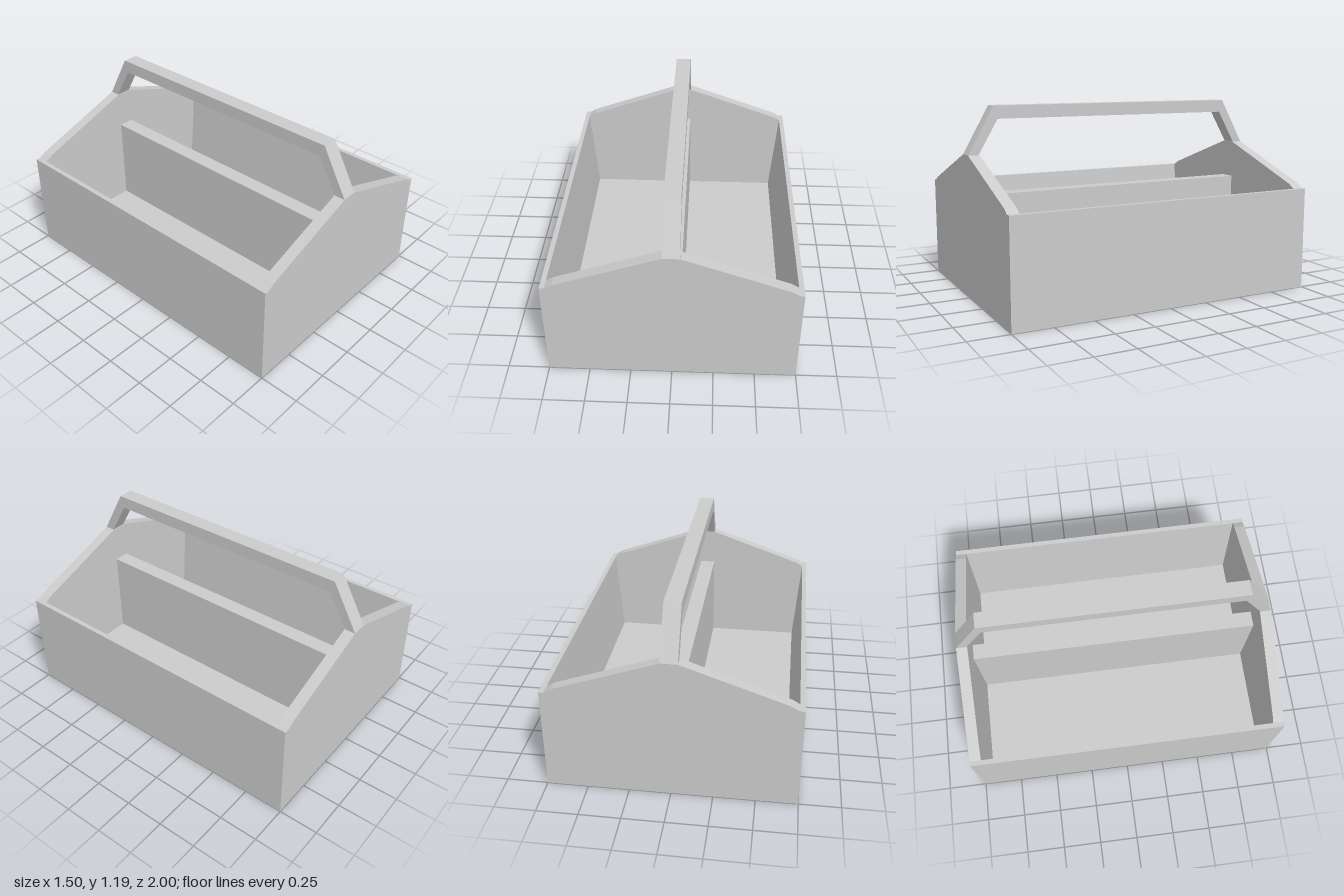
import * as THREE from 'three';

const material = new THREE.MeshStandardMaterial({ color: 0xcccccc, flatShading: true });

// Extrudes an outline by a depth, centred on z = 0
function slab(name, points, depth) {
  const shape = new THREE.Shape(points.map(([x, y]) => new THREE.Vector2(x, y)));
  const geometry = new THREE.ExtrudeGeometry(shape, { depth, bevelEnabled: false });
  geometry.translate(0, 0, -depth / 2);
  const mesh = new THREE.Mesh(geometry, material);
  mesh.name = name;
  return mesh;
}

function box(name, w, h, d, y) {
  const mesh = new THREE.Mesh(new THREE.BoxGeometry(w, h, d), material);
  mesh.name = name;
  mesh.position.y = y + h / 2;
  return mesh;
}

// Closes a half outline by mirroring it across the vertical axis
const mirrored = (half) => [...half, ...half.map(([x, y]) => [-x, y]).reverse()];

export function createModel() {
  const group = new THREE.Group();
  group.name = 'toolCaddy';
  const wall = 0.07, rim = 0.65, peak = 0.895;
  const inside = 2 - 2 * wall;

  // Floor and central divider
  group.add(box('floor', 1.4, wall, inside, 0));
  group.add(box('divider', 0.1, rim - wall, inside, wall));

  // Gabled end walls
  const gable = mirrored([[0.75, 0], [0.75, rim], [0.72, rim], [0.675, 0.677], [0.05, peak]]);
  for (const side of [1, -1]) {
    const end = slab(side > 0 ? 'frontWall' : 'backWall', gable, wall);
    end.position.z = side * (1 - wall / 2);
    group.add(end);
  }

  // Side walls, thinner at the rim than at the floor
  const section = [[0.67, 0], [0.75, 0], [0.75, rim], [0.72, rim], [0.675, wall], [0.67, wall]];
  const left = slab('leftWall', section, inside);
  const right = slab('rightWall', section, inside);
  right.rotation.y = Math.PI;
  group.add(left, right);

  // Angled carrying handle between the gable peaks
  const handle = slab('handle', [
    ...[[1, peak], [0.835, 1.19], [-0.835, 1.19], [-1, peak]],
    ...[[-0.935, peak], [-0.81, 1.11], [0.81, 1.11], [0.935, peak]],
  ], 0.1);
  handle.rotation.y = Math.PI / 2;
  group.add(handle);

  return group;
}
